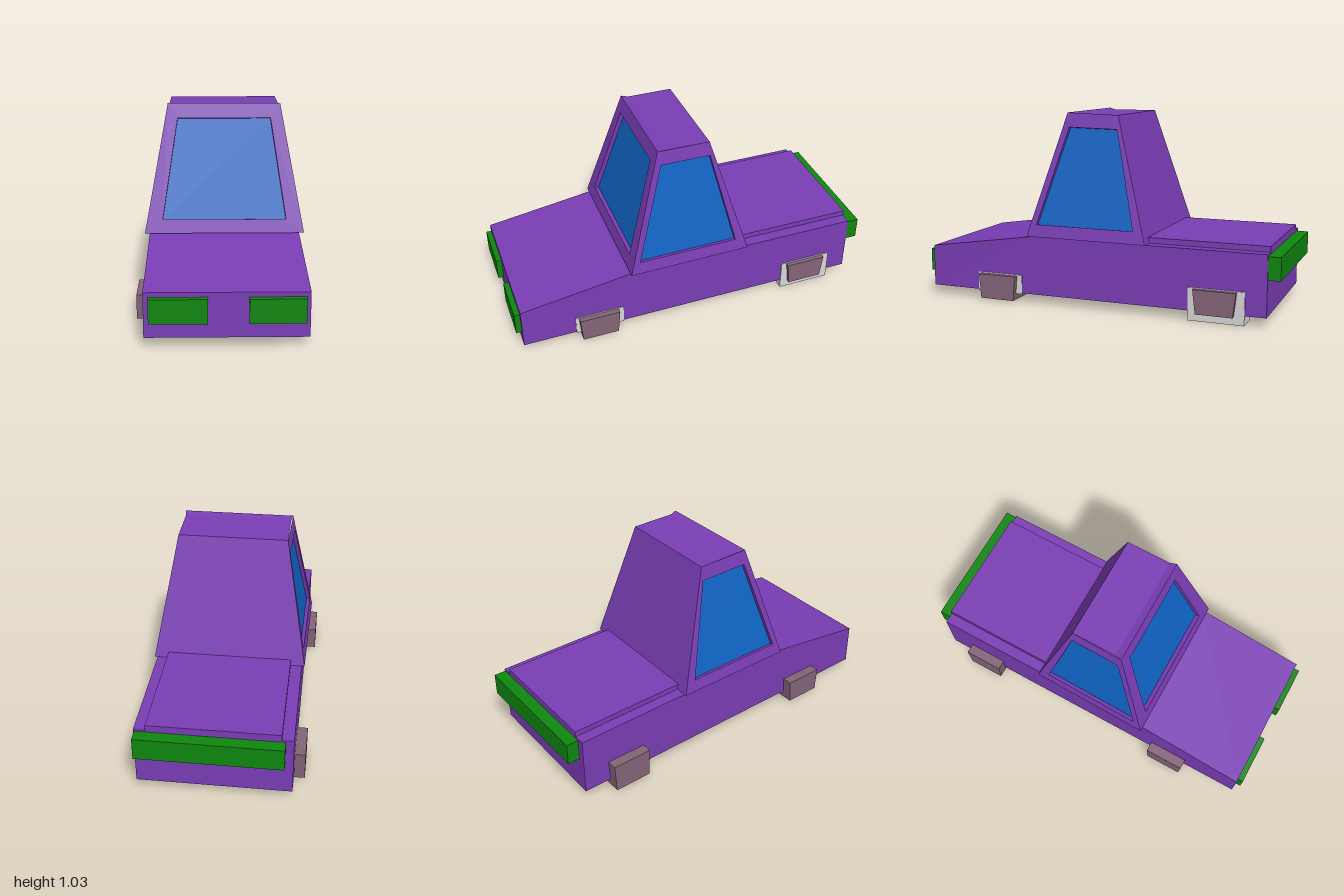
import * as THREE from 'three';

const mat = (name, color) => {
  const m = new THREE.MeshStandardMaterial({ color });
  m.name = name;
  return m;
};

export function createModel() {
  const purple = mat('purple paint', 0x7a3db5);
  const blue = mat('blue glass', 0x1064c4);
  const green = mat('green trim', 0x0f870f);
  const brown = mat('brown wheel', 0x846478);
  const white = mat('white arch', 0xd8d8d8);
  const car = new THREE.Group();
  car.name = 'car';

  const add = (name, geometry, material, parent = car) => {
    const mesh = new THREE.Mesh(geometry, material);
    mesh.name = name;
    parent.add(mesh);
    return mesh;
  };

  // Box from its limits; the bottom may taper in z, the outer side in x
  const box = (name, material, [x0, x1], [y0, y1], [z0, z1], taper = 0) => {
    const g = new THREE.BoxGeometry(x1 - x0, y1 - y0, z1 - z0);
    const p = g.attributes.position;
    for (let i = 0; i < p.count; i++) {
      if (p.getY(i) < 0) p.setZ(i, p.getZ(i) - Math.sign(p.getZ(i)) * taper);
    }
    g.translate((x0 + x1) / 2, (y0 + y1) / 2, (z0 + z1) / 2);
    g.computeVertexNormals();
    return add(name, g, material);
  };

  // Flat quads, corners counter-clockwise from outside
  const quads = (list) => {
    const g = new THREE.BufferGeometry();
    const pos = [];
    for (const [a, b, c, d] of list) {
      for (const v of [a, b, c, a, c, d]) pos.push(v.x, v.y, v.z);
    }
    g.setAttribute('position', new THREE.Float32BufferAttribute(pos, 3));
    g.computeVertexNormals();
    return g;
  };

  // Body with sloping bonnet, extruded across the car
  const profile = new THREE.Shape([
    [-0.97, 0.05], [0.935, 0.05], [0.935, 0.37], [-0.35, 0.37], [-0.97, 0.277],
  ].map(([x, y]) => new THREE.Vector2(x, y)));
  const body = new THREE.ExtrudeGeometry(profile, { depth: 0.79, bevelEnabled: false });
  body.rotateY(Math.PI / 2);
  body.translate(-0.385, 0, 0);
  add('body', body, purple);
  box('bootLid', purple, [-0.325, 0.345], [0.36, 0.4], [-0.935, -0.25]);

  // Bumper and headlights
  box('rearBumper', green, [-0.345, 0.4], [0.24, 0.36], [-1, -0.93]);
  box('rightHeadlight', green, [-0.36, -0.08], [0.13, 0.253], [0.96, 1]);
  box('leftHeadlight', green, [0.115, 0.385], [0.13, 0.253], [0.96, 1]);

  // Wheels and the arch blocks behind them
  box('frontLeftWheel', brown, [0.29, 0.437], [0.01, 0.145], [0.443, 0.665], 0.012);
  box('rearLeftWheel', brown, [0.38, 0.432], [0.04, 0.167], [-0.785, -0.56], 0.015);
  box('frontRightWheel', brown, [-0.44, -0.295], [0.01, 0.14], [0.435, 0.655], 0.008);
  box('rearRightWheel', brown, [-0.44, -0.295], [0.01, 0.167], [-0.79, -0.57], 0.008);
  box('frontLeftArch', white, [0.3, 0.409], [0.045, 0.15], [0.415, 0.682]);
  box('rearLeftArch', white, [0.3, 0.411], [0, 0.172], [-0.825, -0.53]);
  box('frontRightArch', white, [-0.383, -0.295], [0.042, 0.15], [0.425, 0.69]);
  box('rearRightArch', white, [-0.383, -0.295], [0.042, 0.15], [-0.79, -0.53]);

  // Cabin corners: base, roof ridge, and roof behind the ridge
  const v = (x, y, z) => new THREE.Vector3(x, y, z);
  const corners = (s) => ({
    baseFront: v(0.01 + s * 0.42, 0.374, 0.37),
    baseBack: v(0.01 + s * 0.41, 0.371, -0.3),
    topFront: v(0.01 + s * 0.298, 1.035, 0.177),
    topMid: v(0.01 + s * 0.29, 1.026, 0.14),
    topBack: v(0.01 + s * 0.29, 1.026, -0.108),
  });
  const L = corners(1);
  const R = corners(-1);
  const cabin = new THREE.Group();
  cabin.name = 'cabin';
  car.add(cabin);

  // Panel with a recessed window; hole corners are fractions of the panel
  const windowPanel = (name, [a, b, c, d], hole, depth) => {
    const outer = [a, b, c, d];
    const inner = hole.map(([s, t]) => a.clone().lerp(b, s).lerp(d.clone().lerp(c, s), t));
    const inward = b.clone().sub(a).cross(d.clone().sub(a)).normalize().multiplyScalar(-depth);
    const deep = inner.map((p) => p.clone().add(inward));
    const frame = [];
    for (let i = 0; i < 4; i++) {
      const j = (i + 1) % 4;
      frame.push([outer[i], outer[j], inner[j], inner[i]]);
      frame.push([inner[i], inner[j], deep[j], deep[i]]);
    }
    add(name + 'Frame', quads(frame), purple, cabin);
    add(name + 'Glass', quads([deep]), blue, cabin);
  };

  windowPanel('windscreen', [R.baseFront, L.baseFront, L.topFront, R.topFront],
    [[0.1, 0.105], [0.9, 0.105], [0.895, 0.886], [0.105, 0.886]], 0.025);
  windowPanel('leftWindow', [L.baseFront, L.baseBack, L.topBack, L.topFront],
    [[0.055, 0.1], [0.92, 0.1], [0.93, 0.886], [0.11, 0.886]], 0.02);
  windowPanel('rightWindow', [R.baseBack, R.baseFront, R.topFront, R.topBack],
    [[0.08, 0.1], [0.945, 0.1], [0.89, 0.886], [0.07, 0.886]], 0.02);

  // Solid roof, back and floor of the cabin
  add('cabinShell', quads([
    [L.baseBack, R.baseBack, R.topBack, L.topBack],
    [R.topFront, L.topFront, L.topMid, R.topMid],
    [R.topMid, L.topMid, L.topBack, R.topBack],
    [R.baseBack, L.baseBack, L.baseFront, R.baseFront],
  ]), purple, cabin);

  return car;
}
